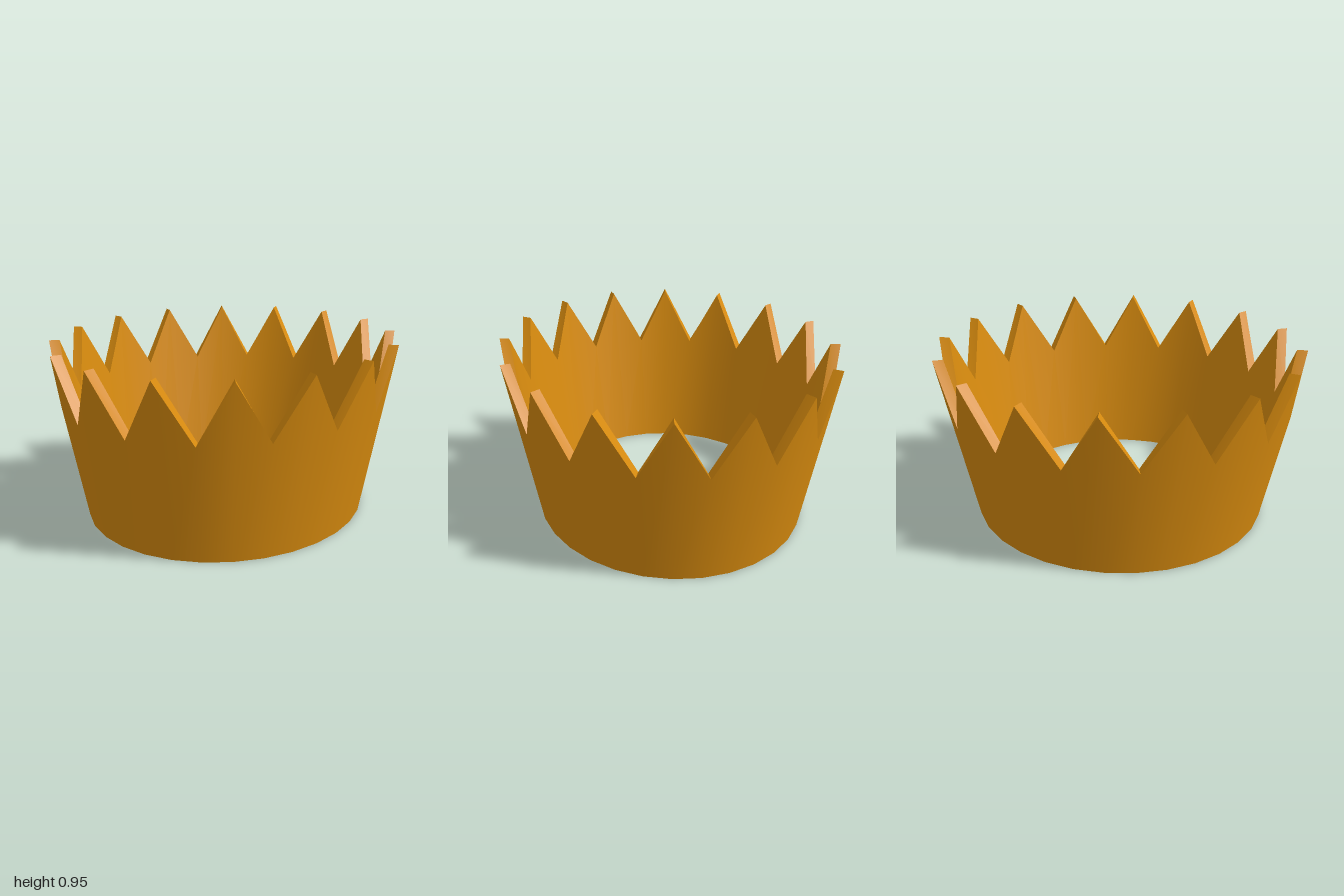
import * as THREE from 'three';
import { toCreasedNormals } from 'three/addons/utils/BufferGeometryUtils.js';

const POINTS = 16;            // teeth around the rim
const SEGMENTS = POINTS * 2;  // one section per peak and per valley
const PEAK = 0.955, VALLEY = 0.64;

// Point on a flaring elliptical wall
function wallPoint(angle, y, baseX, baseZ, flareX, flareZ) {
  const t = y / PEAK;
  return [Math.sin(angle) * (baseX + flareX * t), y, Math.cos(angle) * (baseZ + flareZ * t)];
}

// Wall cross-section: outer bottom, outer top, inner top, inner bottom
function section(i) {
  const a = (i / SEGMENTS) * Math.PI * 2;
  const top = i % 2 === 0 ? PEAK : VALLEY;
  const outer = y => wallPoint(a, y, 0.75, 0.825, 0.157, 0.175);
  const inner = y => wallPoint(a, y, 0.698, 0.768, 0.157, 0.175);
  return [outer(0), outer(top), inner(top), inner(0)];
}

// Closed ring swept through all the sections
function crownGeometry() {
  const positions = [], index = [];
  for (let i = 0; i < SEGMENTS; i++) {
    section(i).forEach(p => positions.push(...p));
    const next = (i + 1) % SEGMENTS;
    for (let k = 0; k < 4; k++) {
      const m = (k + 1) % 4;
      const a = i * 4 + k, b = next * 4 + k, c = next * 4 + m, d = i * 4 + m;
      index.push(a, b, c, a, c, d);
    }
  }
  const geometry = new THREE.BufferGeometry();
  geometry.setAttribute('position', new THREE.Float32BufferAttribute(positions, 3));
  geometry.setIndex(index);
  return toCreasedNormals(geometry, 0.6);
}

export function createModel() {
  const group = new THREE.Group();
  group.name = 'crown';
  const gold = new THREE.MeshStandardMaterial({ color: 0xd98c0f });
  const band = new THREE.Mesh(crownGeometry(), gold);
  band.name = 'pointedBand';
  group.add(band);
  return group;
}
